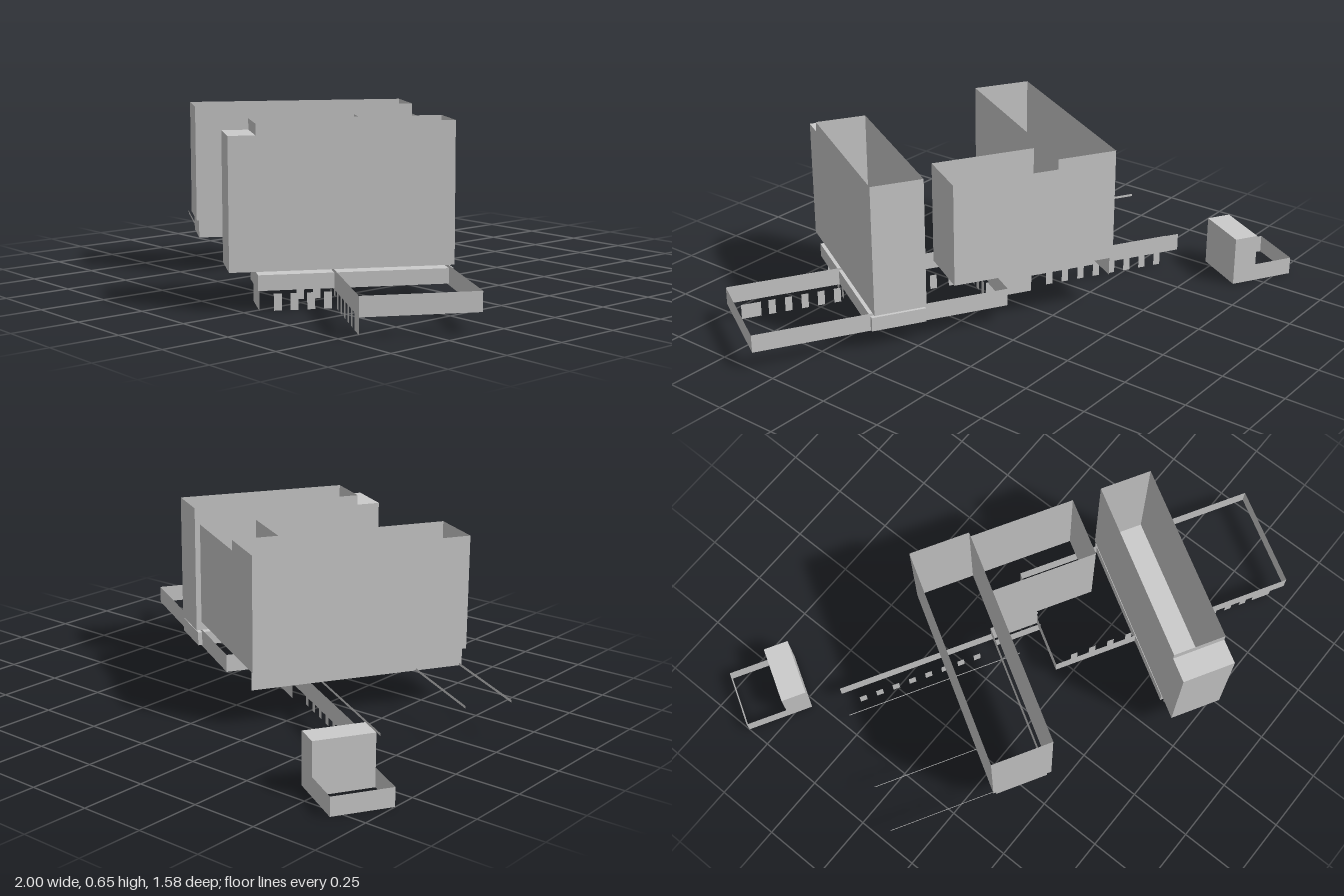
import * as THREE from 'three';

export function createModel() {
  const model = new THREE.Group();
  model.name = 'buildingComplex';
  // The whole plan is turned 30 degrees; parts are laid out in plan coordinates (u, v)
  const plan = new THREE.Group();
  plan.name = 'rotatedPlan';
  plan.rotation.y = -Math.PI / 6;
  model.add(plan);

  const mat = new THREE.MeshStandardMaterial({
    color: 0xcccccc, side: THREE.DoubleSide, flatShading: true,
  });

  const group = (name) => {
    const g = new THREE.Group();
    g.name = name;
    plan.add(g);
    return g;
  };

  // Thin upright walls following a run of plan points
  function walls(parent, name, points, y0, y1) {
    for (let i = 0; i < points.length - 1; i++) {
      const [u0, v0] = points[i];
      const [u1, v1] = points[i + 1];
      const geo = new THREE.PlaneGeometry(Math.hypot(u1 - u0, v1 - v0), y1 - y0);
      const mesh = new THREE.Mesh(geo, mat);
      mesh.name = name;
      mesh.position.set((u0 + u1) / 2, (y0 + y1) / 2, (v0 + v1) / 2);
      mesh.rotation.y = -Math.atan2(v1 - v0, u1 - u0);
      parent.add(mesh);
    }
  }

  const loop = (u0, u1, v0, v1) => [[u0, v0], [u1, v0], [u1, v1], [u0, v1], [u0, v0]];

  // Flat horizontal slab
  function slab(parent, name, u0, u1, v0, v1, y) {
    const geo = new THREE.PlaneGeometry(u1 - u0, v1 - v0).rotateX(-Math.PI / 2);
    const mesh = new THREE.Mesh(geo, mat);
    mesh.name = name;
    mesh.position.set((u0 + u1) / 2, y, (v0 + v1) / 2);
    parent.add(mesh);
  }

  // Row of flat ground posts, each lying along the row
  function posts(parent, from, to, count) {
    const a = new THREE.Vector2(...from), b = new THREE.Vector2(...to);
    const half = b.clone().sub(a).normalize().multiplyScalar(0.014);
    for (let i = 0; i < count; i++) {
      const p = a.clone().lerp(b, i / (count - 1));
      walls(parent, 'post', [p.clone().sub(half).toArray(), p.clone().add(half).toArray()], 0, 0.06);
    }
  }

  // Right tower: open-topped block with a lower roofed bay at the front
  const right = group('rightTower');
  const [bu0, bu1, bv0, bv1, step] = [0.387, 0.588, -0.221, 0.573, 0.478];
  walls(right, 'towerWall', loop(bu0, bu1, bv0, step), 0.14, 0.65);
  walls(right, 'frontBayWall', [[bu0, step], [bu0, bv1], [bu1, bv1], [bu1, step]], 0.14, 0.61);
  slab(right, 'frontBayRoof', bu0, bu1, step, bv1, 0.61);
  slab(right, 'towerFloor', bu0, bu1, bv0, bv1, 0.14);

  // Closed plinth under the right tower
  const plinth = group('rightPlinth');
  walls(plinth, 'plinthWall', loop(0.387, 0.597, -0.215, 0.475), 0.075, 0.13);
  slab(plinth, 'plinthTop', 0.387, 0.597, -0.215, 0.475, 0.13);
  slab(plinth, 'plinthBottom', 0.387, 0.597, -0.215, 0.475, 0.075);

  // Left tower: open shell
  const left = group('leftTower');
  walls(left, 'towerWall', loop(-0.366, -0.1325, -0.231, 0.62), 0.21, 0.65);

  // Lower connecting wing
  const wing = group('connectingWing');
  walls(wing, 'wingWall', [[-0.1325, -0.231], [0.28, -0.231], [0.28, 0], [-0.1325, 0]], 0.21, 0.61);
  walls(wing, 'entrancePanel', [[-0.066, 0.008], [0.05, 0.008]], 0.203, 0.222);

  // Recessed base below the left tower and wing, open at the back
  const base = group('recessedBase');
  walls(base, 'baseWall',
    [[-0.352, -0.231], [-0.352, 0.61], [-0.145, 0.61], [-0.145, 0], [0.05, 0]], 0.14, 0.21);

  // Podium band and terrace frame
  const podium = group('podiumBand');
  walls(podium, 'podiumWall', [[-0.775, 0], [0.05, 0], [0.05, 0.21], [1.04, 0.21],
    [1.04, -0.198], [0.055, -0.198], [0.055, 0]], 0.07, 0.14);

  // Thin rails reaching out from the left tower
  const rails = group('sideRails');
  walls(rails, 'rail', [[-0.775, 0.6], [-0.352, 0.6], [-0.352, 0.42], [-0.775, 0.42]], 0.14, 0.15);
  walls(rails, 'lowRail', [[-0.775, 0.098], [-0.06, 0.098]], 0.08, 0.09);

  // Ground level posts and solid panels
  const ground = group('groundLevel');
  posts(ground, [-0.7, 0.035], [-0.22, 0.035], 8);
  posts(ground, [0.58, 0.405], [0.58, 0.23], 4);
  posts(ground, [0.61, 0.2], [0.87, 0.2], 5);
  posts(ground, [0.145, 0.17], [0.38, 0.17], 4);
  posts(ground, [0.06, 0.05], [0.06, 0.155], 3);
  posts(ground, [0.405, 0.24], [0.405, 0.3], 2);
  walls(ground, 'frontPanel', [[0.41, 0.468], [0.572, 0.468]], 0, 0.07);
  walls(ground, 'terracePanel', [[0.913, 0.2], [0.99, 0.2]], 0, 0.06);
  walls(ground, 'centrePanel', [[-0.13, 0.008], [0.063, 0.008]], 0, 0.07);

  // Detached annex with a low open yard
  const annex = group('annex');
  walls(annex, 'annexWall', loop(-1.0, -0.903, -0.24, -0.015), 0, 0.195);
  slab(annex, 'annexRoof', -1.0, -0.903, -0.24, -0.015, 0.195);
  walls(annex, 'yardWall', [[-1.0, -0.24], [-1.163, -0.24], [-1.163, -0.015], [-1.0, -0.015]], 0, 0.07);

  return model;
}
